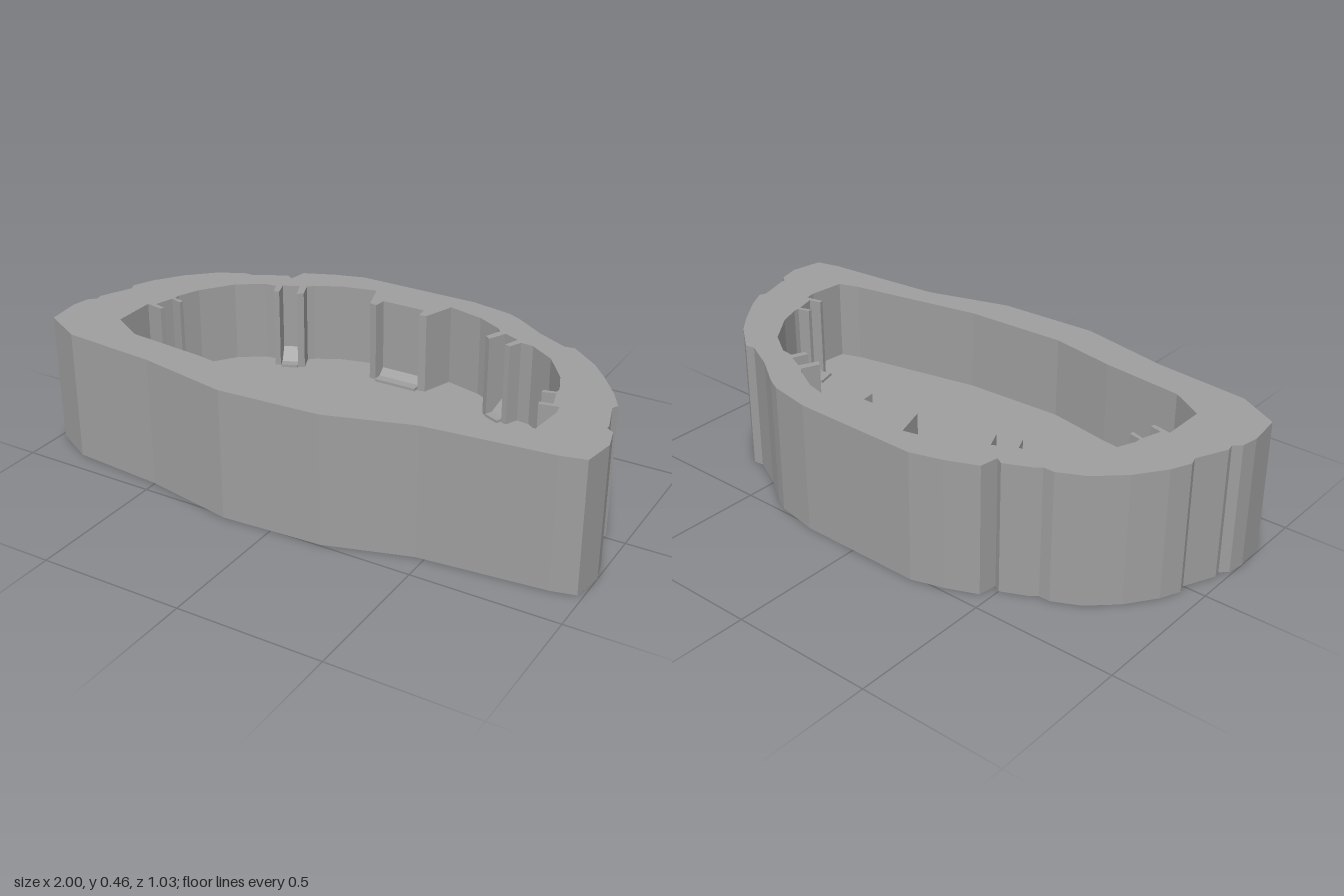
import * as THREE from 'three';

const HEIGHT = 0.46, FLOOR = 0.17;
const mat = new THREE.MeshStandardMaterial({ color: 0x9e9e9e, flatShading: true });

// Plan outlines as [x, z]
const outer = [
  [-0.25, -0.518], [0.2, -0.514], [0.35, -0.485], [0.4, -0.46], [0.51, -0.385], [0.62, -0.33],
  [0.655, -0.335], [0.76, -0.25], [0.82, -0.18], [0.89, -0.085], [0.93, -0.015], [0.92, 0.008],
  [0.955, 0.12], [0.955, 0.137], [0.98, 0.153], [1, 0.23], [0.982, 0.343], [0.9, 0.363],
  [0.47, 0.405], [0.18, 0.495], [-0.175, 0.515], [-0.5, 0.452], [-0.84, 0.422], [-0.985, 0.343],
  [-1, 0.22], [-0.99, 0.16], [-0.965, 0.135], [-0.97, 0.11], [-0.92, 0], [-0.93, -0.03],
  [-0.9, -0.1], [-0.83, -0.2], [-0.74, -0.285], [-0.65, -0.33], [-0.61, -0.33], [-0.585, -0.35],
  [-0.5, -0.39], [-0.475, -0.375], [-0.465, -0.44], [-0.36, -0.485],
];
// Half of the cavity's back wall, with the slotted ribs; mirrored below
const backHalf = [
  [0.08, -0.36], [0.085, -0.315], [0.112, -0.32], [0.15, -0.432], [0.28, -0.4], [0.365, -0.355],
  [0.385, -0.335], [0.36, -0.275], [0.38, -0.26], [0.41, -0.325], [0.465, -0.3], [0.445, -0.245],
  [0.465, -0.24], [0.485, -0.285], [0.53, -0.28], [0.62, -0.22], [0.7, -0.11], [0.732, -0.03],
  [0.732, -0.01], [0.69, 0], [0.692, 0.015], [0.735, 0.002], [0.755, 0.07], [0.712, 0.08],
  [0.716, 0.095], [0.78, 0.082],
];
const cavity = [
  ...backHalf,
  [0.787, 0.12], [0.775, 0.245], [0.705, 0.27], [0.23, 0.365], [-0.135, 0.382],
  [-0.37, 0.34], [-0.66, 0.31], [-0.778, 0.24],
  ...backHalf.map(([x, z]) => [-x, z]).reverse(),
];
const moundOutline = [
  [-0.275, 0.09], [-0.145, 0.16], [0, 0.205], [0.1, 0.172], [0.2, 0.155], [0.285, 0.1],
  [0.27, -0.02], [0.22, -0.105], [0.1, -0.16], [-0.17, -0.125], [-0.265, -0.07],
];

const toPoints = (list) => list.map(([x, z]) => new THREE.Vector2(x, -z));

function addMesh(parent, name, geometry) {
  const mesh = new THREE.Mesh(geometry, mat);
  mesh.name = name;
  parent.add(mesh);
  return mesh;
}

// Extrude a plan shape upwards from y = 0
function raise(shape, depth, bevel = {}) {
  return new THREE.ExtrudeGeometry(shape, { depth, bevelEnabled: false, ...bevel }).rotateX(-Math.PI / 2);
}

// Low sill at the foot of a slot: a short slope at the back, then a thin flat tongue
function addRamp(parent, x, z, nx, nz, width, slope, reach) {
  const lip = 0.01;
  const side = new THREE.Shape([
    new THREE.Vector2(0, -0.01), new THREE.Vector2(reach, -0.01), new THREE.Vector2(reach, lip),
    new THREE.Vector2(slope, lip), new THREE.Vector2(0, lip + slope * 0.9),
  ]);
  const geo = new THREE.ExtrudeGeometry(side, { depth: width, bevelEnabled: false });
  geo.translate(0, 0, -width / 2).rotateY(-Math.PI / 2);
  const ramp = addMesh(parent, 'slotRamp', geo);
  ramp.position.set(x, FLOOR, z);
  ramp.rotation.y = Math.atan2(nx, nz);
}

export function createModel() {
  const group = new THREE.Group();
  group.name = 'tray';

  // Outer wall around the open cavity; the hole winds the opposite way
  const wallShape = new THREE.Shape(toPoints(outer));
  wallShape.holes.push(new THREE.Path(toPoints(cavity).reverse()));
  addMesh(group, 'wall', raise(wallShape, HEIGHT));

  // Thick floor filling the bottom of the cavity
  addMesh(group, 'floor', raise(new THREE.Shape(toPoints(cavity)), FLOOR));

  // Low bevelled mound in the middle of the floor
  const mound = addMesh(group, 'mound', raise(new THREE.Shape(toPoints(moundOutline)), 0.01, {
    bevelEnabled: true, bevelSegments: 1, bevelSize: 0.015, bevelOffset: -0.015, bevelThickness: 0.025,
  }));
  mound.position.y = FLOOR - 0.01;

  // Ramps in the five slots
  addRamp(group, 0, -0.36, 0, 1, 0.16, 0.025, 0.058);
  for (const s of [-1, 1]) {
    addRamp(group, s * 0.4375, -0.3125, -s * 0.41, 0.91, 0.06, 0.045, 0.075);
    addRamp(group, s * 0.745, 0.036, -s * 0.96, 0.27, 0.07, 0.04, 0.075);
  }
  return group;
}
